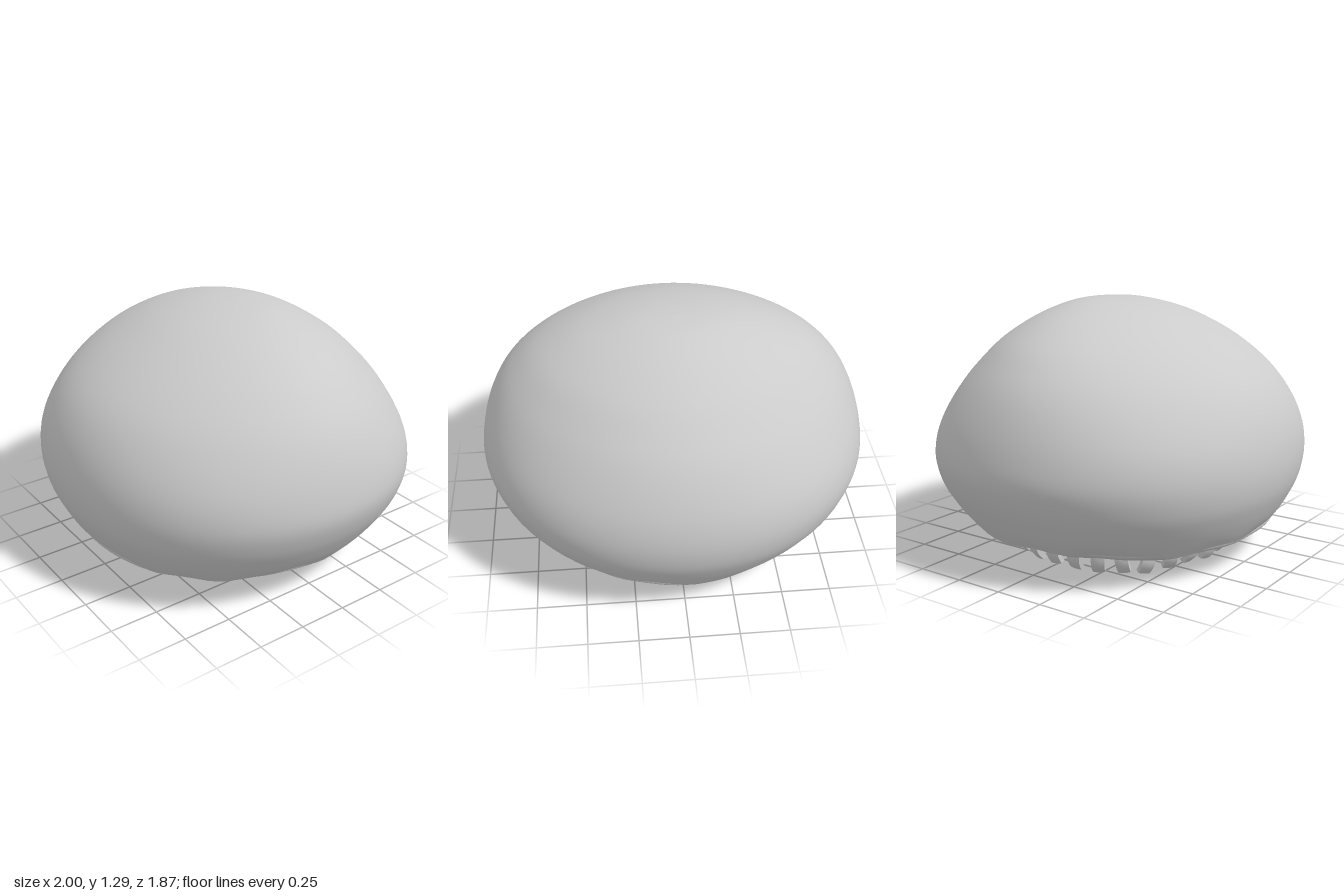
import * as THREE from 'three';

const material = new THREE.MeshStandardMaterial({ color: 0xcccccc, side: THREE.DoubleSide });

// Closed band of rings: point(angle, v) returns [x, y, z], v runs from 0 to 1
function ringSurface(name, around, rows, point) {
  const positions = [], index = [];
  for (let j = 0; j <= rows; j++)
    for (let i = 0; i < around; i++)
      positions.push(...point((i / around) * Math.PI * 2, j / rows));
  for (let j = 0; j < rows; j++)
    for (let i = 0; i < around; i++) {
      const a = j * around + i, b = j * around + ((i + 1) % around);
      index.push(a, b, a + around, b, b + around, a + around);
    }
  const g = new THREE.BufferGeometry();
  g.setAttribute('position', new THREE.Float32BufferAttribute(positions, 3));
  g.setIndex(index);
  g.computeVertexNormals();
  const mesh = new THREE.Mesh(g, material);
  mesh.name = name;
  return mesh;
}

const curve = (pts) => new THREE.CatmullRomCurve3(pts, false, 'catmullrom', 0.5);
const wave = (a) => Math.sin(5 * a + 1) * 0.5 + Math.sin(11 * a) * 0.3 + Math.sin(17 * a + 2) * 0.2;

// Domed body: height, half width, front z, back z
function makeDome() {
  const rows = [
    [0.16, 0.80, 0.79, -0.79], [0.22, 0.855, 0.835, -0.835], [0.3, 0.91, 0.88, -0.88],
    [0.4, 0.965, 0.92, -0.92], [0.52, 1.0, 0.935, -0.93], [0.65, 0.985, 0.92, -0.905],
    [0.78, 0.945, 0.875, -0.85], [0.9, 0.885, 0.8, -0.775], [1.0, 0.805, 0.695, -0.685],
    [1.1, 0.69, 0.545, -0.575], [1.19, 0.525, 0.37, -0.44], [1.245, 0.365, 0.22, -0.33],
    [1.28, 0.2, 0.06, -0.22], [1.292, 0, -0.09, -0.09],
  ];
  const wide = curve(rows.map(([y, x, f, b]) => new THREE.Vector3(x, y, (f + b) / 2)));
  const deep = curve(rows.map(([y, , f, b]) => new THREE.Vector3((f - b) / 2, y, 0)));
  return ringSurface('domeBody', 96, 52, (a, v) => {
    const p = wide.getPoint(v), q = deep.getPoint(v);
    const ragged = 0.018 * wave(a) * Math.max(0, 1 - v * 10);
    // slightly squared around the middle, slightly pinched at the shoulders
    const corner = THREE.MathUtils.lerp(0.016, -0.022, THREE.MathUtils.smoothstep(p.y, 0.6, 1));
    const s = 1 + corner * Math.sin(2 * a) ** 2 * Math.min(1, v * 5);
    return [s * p.x * Math.sin(a), p.y + ragged, p.z + s * q.x * Math.cos(a)];
  });
}

// Soft rolled lip tucked under the edge of the dome, pulled away from it at one side
function makeLip() {
  const profile = curve([
    [0.6, 0.125], [0.615, 0.107], [0.65, 0.1], [0.70, 0.113], [0.75, 0.135], [0.8, 0.165], [0.8, 0.21],
  ].map(([r, y]) => new THREE.Vector3(r, y, 0)));
  return ringSurface('lip', 128, 20, (a, v) => {
    const p = profile.getPoint(v), bulge = Math.sin(Math.PI * v);
    const gap = Math.pow(Math.max(0, Math.cos(a + 2)), 4);
    const r = p.x + 0.008 * bulge * wave(a + 1) - 0.06 * gap * v * v;
    return [r * Math.sin(a), p.y + 0.01 * bulge * wave(a), r * Math.cos(a)];
  });
}

// Pleated roof of the mouth, folds running to a point off centre
function makePalate() {
  return ringSurface('pleatedPalate', 192, 16, (a, v) => {
    const fold = Math.sin(19 * a) * 0.6 + Math.sin(31 * a + 1) * 0.4;
    const r = 0.6 * v, shift = 0.17 * (1 - v);
    const y = 0.125 + 0.1 * (1 - Math.pow(v, 1.5)) + 0.012 * fold * Math.sin(Math.PI * v);
    return [r * Math.sin(a) - shift, y, r * Math.cos(a) - shift];
  });
}

// One tooth: a small slab, slightly bowed and hooked in at the tip
function toothGeometry() {
  const g = new THREE.BoxGeometry(0.068, 0.11, 0.03, 4, 6, 1);
  const p = g.attributes.position;
  for (let i = 0; i < p.count; i++) {
    const x = p.getX(i), t = 0.5 - p.getY(i) / 0.11;
    p.setX(i, x * (1 - 0.12 * t));
    p.setZ(i, p.getZ(i) + 0.014 * Math.sin(Math.PI * t) - 0.015 * t - 4 * x * x);
  }
  g.computeVertexNormals();
  return g;
}

function makeTeeth() {
  const teeth = new THREE.Group(), geometry = toothGeometry(), count = 33;
  teeth.name = 'teeth';
  for (let i = 0; i < count; i++) {
    const a = (i / count) * Math.PI * 2;
    // the teeth at one front corner hang lower and more crooked
    const crooked = Math.pow(Math.max(0, Math.cos(a + 0.95)), 6);
    const tooth = new THREE.Mesh(geometry, material);
    tooth.name = 'tooth';
    tooth.position.set(0.625 * Math.sin(a), 0.088 - 0.026 * crooked + 0.005 * Math.sin(i * 2.3), 0.62 * Math.cos(a));
    tooth.rotation.set(0.3 + 0.1 * Math.sin(i * 1.7), a + 0.12 * Math.sin(i * 3.1),
      (0.06 + 0.12 * crooked) * Math.sin(i * 2.1), 'YXZ');
    teeth.add(tooth);
  }
  return teeth;
}

export function createModel() {
  const model = new THREE.Group();
  model.name = 'toothedDome';
  model.add(makeDome(), makeLip(), makePalate(), makeTeeth());
  return model;
}
